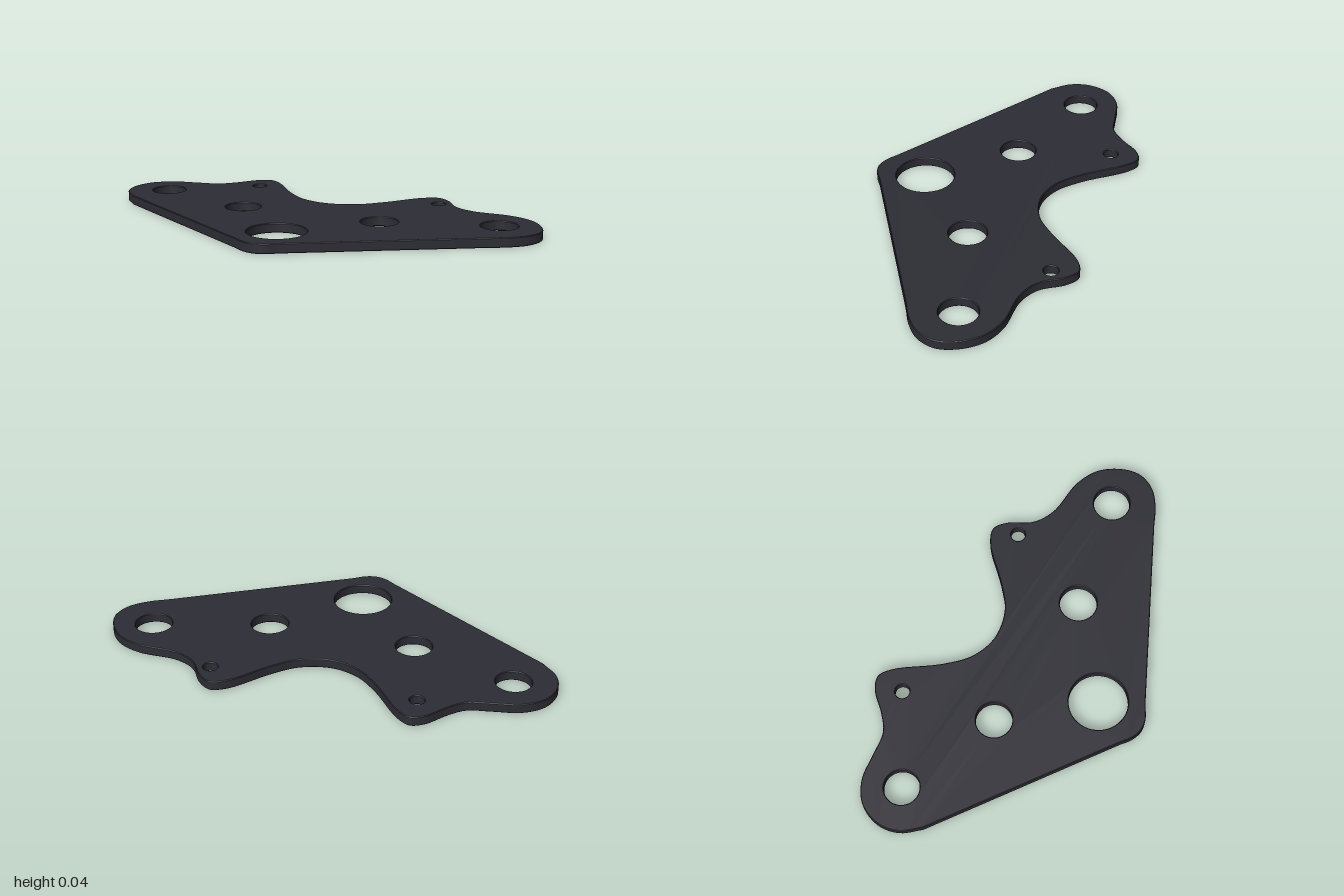
import * as THREE from 'three';
import { toCreasedNormals } from 'three/addons/utils/BufferGeometryUtils.js';

const THICKNESS = 0.043;
const BEVEL = 0.003;

// Curved outline runs as [x, z]; straight edges join one run to the next
const frontTip = [[0.085, 0.49], [0.03, 0.527], [-0.02, 0.538], [-0.07, 0.525], [-0.12, 0.493]];
const backEdge = [
  [-0.905, 0.02], [-0.975, -0.055], [-1, -0.145], [-0.97, -0.25], [-0.885, -0.318],
  [-0.77, -0.345], [-0.665, -0.37], [-0.6, -0.428], [-0.53, -0.515], [-0.47, -0.543],
  [-0.41, -0.51], [-0.265, -0.345], [-0.157, -0.258], [-0.035, -0.228], [0.095, -0.265],
  [0.19, -0.35], [0.325, -0.508], [0.395, -0.54], [0.455, -0.503], [0.525, -0.41],
  [0.62, -0.365], [0.795, -0.358], [0.9, -0.318], [0.97, -0.24], [1, -0.148],
  [0.975, -0.065], [0.91, 0.0], [0.82, 0.052],
];

// Holes as [x, z, radius]
const holes = [
  [-0.815, -0.158, 0.077], [0.805, -0.17, 0.082], // wing holes
  [-0.345, -0.01, 0.08], [0.313, -0.018, 0.083], // inner holes
  [-0.018, 0.313, 0.13], // large front hole
  [-0.467, -0.413, 0.032], [0.433, -0.43, 0.032], // small ear holes
];

const smooth = (points, divisions) =>
  new THREE.CatmullRomCurve3(points.map(([x, z]) => new THREE.Vector3(x, z, 0)))
    .getPoints(divisions)
    .map((p) => new THREE.Vector2(p.x, p.y));

export function createModel() {
  const group = new THREE.Group();
  group.name = 'mountingPlate';

  const darkGrey = new THREE.MeshStandardMaterial({ color: 0x2d2d35 });
  darkGrey.name = 'dark grey';

  // Flat plate with rounded outline and round cut-outs
  const outline = new THREE.Shape([...smooth(frontTip, 16), ...smooth(backEdge, 160)]);
  for (const [x, z, r] of holes) {
    outline.holes.push(new THREE.Path().absarc(x, z, r, 0, Math.PI * 2, true));
  }
  const geometry = new THREE.ExtrudeGeometry(outline, {
    depth: THICKNESS - 2 * BEVEL,
    bevelThickness: BEVEL,
    bevelSize: BEVEL,
    bevelOffset: -BEVEL,
    bevelSegments: 1,
    curveSegments: 40,
  });

  // Lay the plate flat, resting on the ground
  geometry.rotateX(Math.PI / 2);
  geometry.translate(0, THICKNESS - BEVEL, 0);

  const plate = new THREE.Mesh(toCreasedNormals(geometry, 0.5), darkGrey);
  plate.name = 'plate';
  group.add(plate);
  return group;
}
